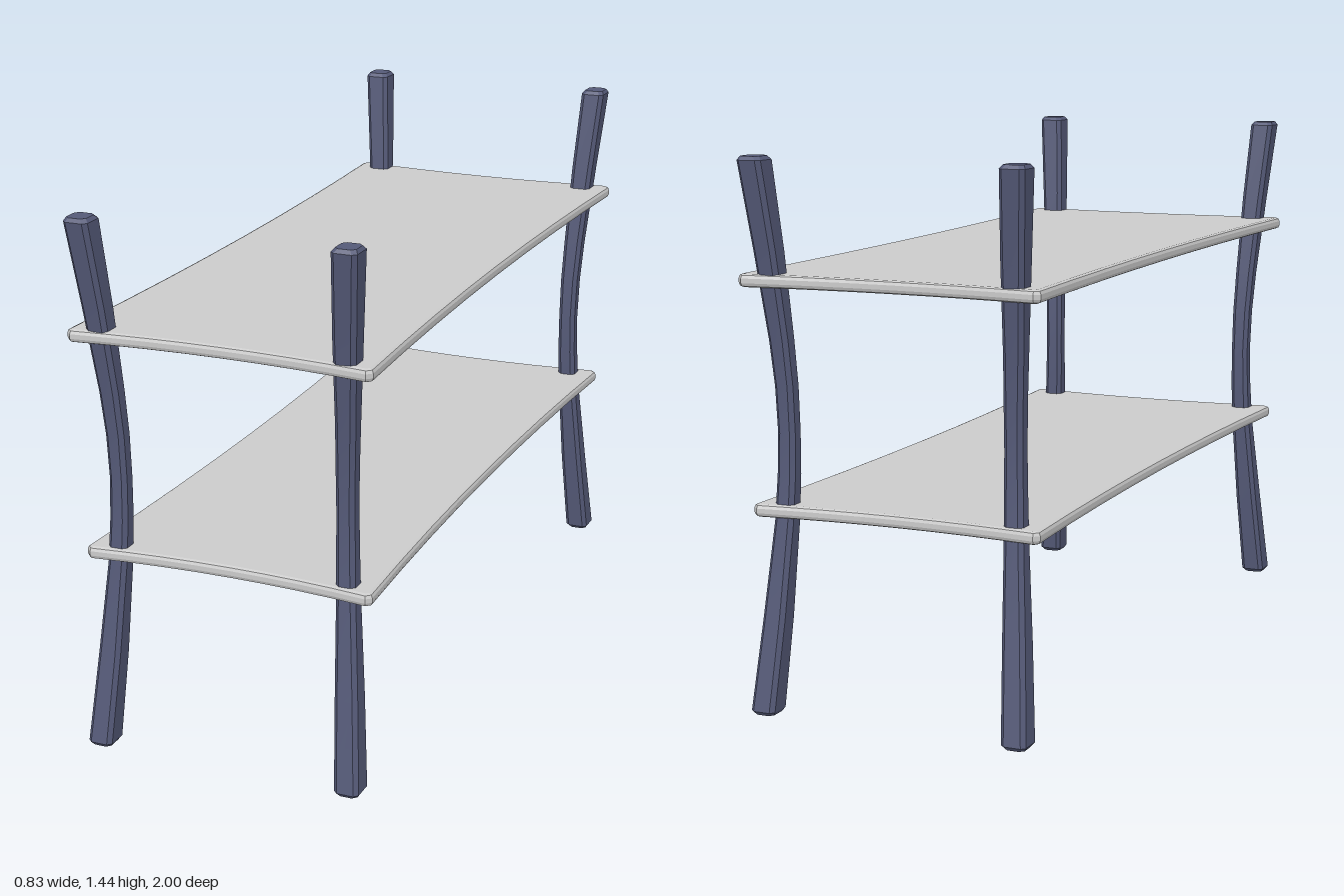
import * as THREE from 'three';
import { toCreasedNormals } from 'three/addons/utils/BufferGeometryUtils.js';

const shelfMaterial = new THREE.MeshStandardMaterial({ color: 0xcccccc });
const legMaterial = new THREE.MeshStandardMaterial({ color: 0x555a78 });

// Leg stations from floor to tip: height, x centre, z centre, width, depth
const STATIONS = [
  [0, 0.353, 0.952, 0.054, 0.06],
  [0.01, 0.353, 0.951, 0.068, 0.077],
  [0.25, 0.337, 0.917, 0.063, 0.068],
  [0.5, 0.322, 0.888, 0.054, 0.056],
  [0.62, 0.318, 0.881, 0.052, 0.052],
  [0.73, 0.317, 0.879, 0.05, 0.05],
  [0.85, 0.319, 0.884, 0.052, 0.051],
  [0.97, 0.325, 0.895, 0.055, 0.054],
  [1.2, 0.339, 0.926, 0.063, 0.066],
  [1.43, 0.356, 0.96, 0.068, 0.077],
  [1.44, 0.357, 0.961, 0.054, 0.06],
];

// Chamfered-square section swept through the stations, closed at both ends
function legGeometry(sx, sz) {
  const positions = [];
  const indices = [];
  const n = 8;
  for (const [y, x, z, w, d] of STATIONS) {
    const a = w / 2, b = d / 2, c = 0.011;
    const ring = [
      [a, c - b], [a, b - c], [a - c, b], [c - a, b],
      [-a, b - c], [-a, c - b], [c - a, -b], [a - c, -b],
    ];
    for (const [dx, dz] of ring) positions.push(sx * x + dx, y, sz * z + dz);
  }
  const last = STATIONS.length - 1;
  for (let i = 0; i < last; i++) {
    for (let j = 0; j < n; j++) {
      const p = i * n + j, q = i * n + (j + 1) % n;
      indices.push(p, p + n, q, q, p + n, q + n);
    }
  }
  for (let j = 1; j < n - 1; j++) {
    indices.push(0, j, j + 1);
    indices.push(last * n, last * n + j + 1, last * n + j);
  }
  const geometry = new THREE.BufferGeometry();
  geometry.setAttribute('position', new THREE.Float32BufferAttribute(positions, 3));
  geometry.setIndex(indices);
  return toCreasedNormals(geometry, 0.4);
}

// Thin board with inward-curving edges, clipped corners and a rounded rim
function shelfGeometry(halfX, halfZ, thickness) {
  const dip = 0.026, r = 0.014, bevel = 0.011;
  const shape = new THREE.Shape();
  shape.moveTo(halfX - r, -halfZ);
  shape.lineTo(halfX, r - halfZ);
  shape.quadraticCurveTo(halfX - 2 * dip, 0, halfX, halfZ - r);
  shape.lineTo(halfX - r, halfZ);
  shape.quadraticCurveTo(0, halfZ - 2 * dip, r - halfX, halfZ);
  shape.lineTo(-halfX, halfZ - r);
  shape.quadraticCurveTo(2 * dip - halfX, 0, -halfX, r - halfZ);
  shape.lineTo(r - halfX, -halfZ);
  shape.quadraticCurveTo(0, 2 * dip - halfZ, halfX - r, -halfZ);
  const geometry = new THREE.ExtrudeGeometry(shape, {
    depth: thickness - 2 * bevel,
    curveSegments: 8,
    bevelThickness: bevel,
    bevelSize: bevel,
    bevelOffset: -bevel,
    bevelSegments: 2,
  });
  geometry.translate(0, 0, bevel - thickness / 2);
  return geometry.rotateX(-Math.PI / 2);
}

export function createModel() {
  const model = new THREE.Group();
  model.name = 'shelfUnit';

  // Four splayed legs
  for (const sx of [-1, 1]) {
    for (const sz of [-1, 1]) {
      const leg = new THREE.Mesh(legGeometry(sx, sz), legMaterial);
      leg.name = (sz > 0 ? 'front' : 'back') + (sx > 0 ? 'Left' : 'Right') + 'Leg';
      model.add(leg);
    }
  }

  // Two shelves pierced by the legs
  for (const [name, y, halfX, halfZ] of [
    ['lowerShelf', 0.528, 0.4, 0.935],
    ['upperShelf', 1.125, 0.414, 0.964],
  ]) {
    const shelf = new THREE.Mesh(shelfGeometry(halfX, halfZ, 0.034), shelfMaterial);
    shelf.name = name;
    shelf.position.y = y;
    model.add(shelf);
  }
  return model;
}
